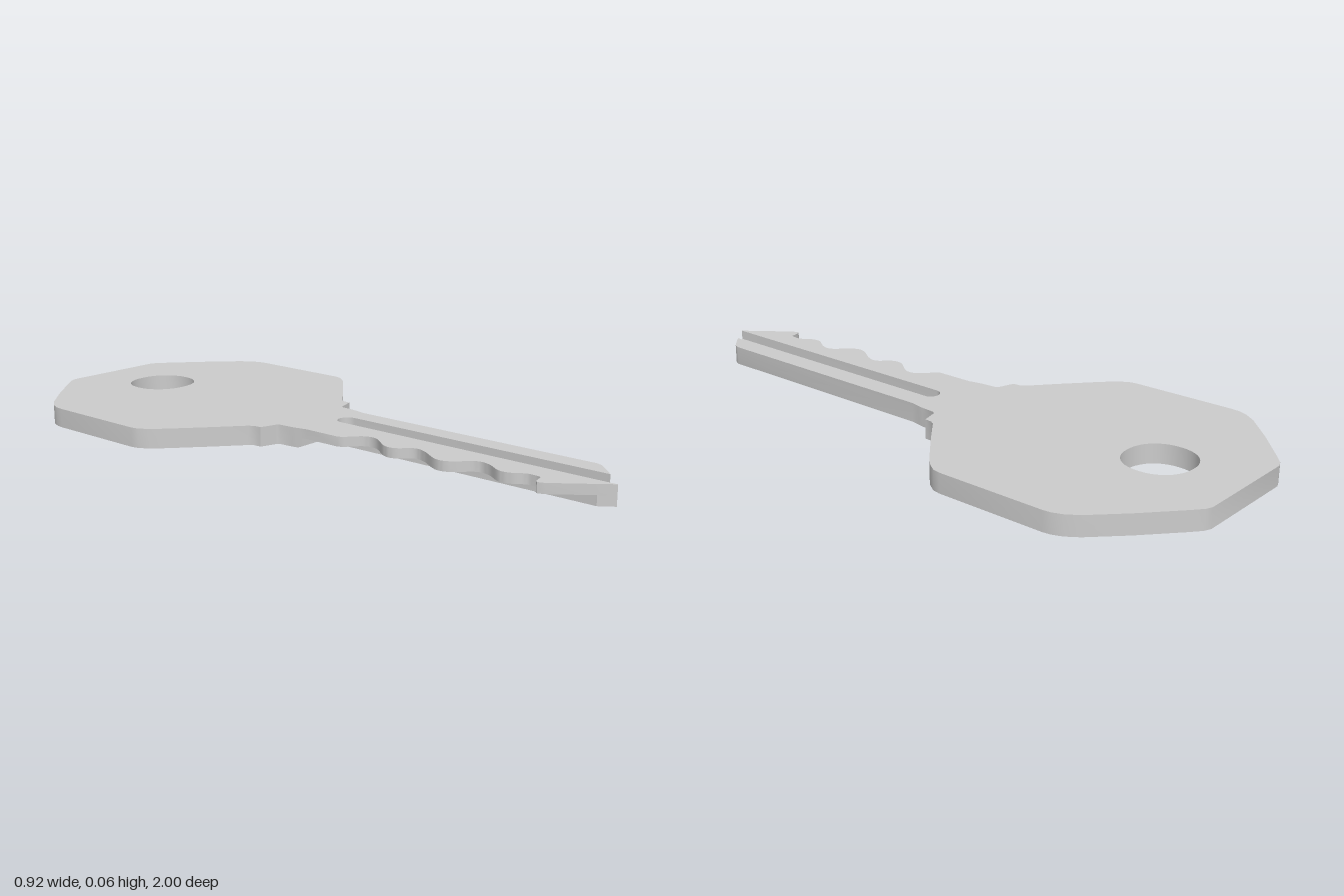
import * as THREE from 'three';
import { mergeGeometries, toCreasedNormals } from 'three/addons/utils/BufferGeometryUtils.js';

const BOTTOM = 0, MID = 0.03, TOP = 0.06;
const mirror = (pts) => pts.map(([x, z]) => [-x, z]).reverse();

// Smooth curve through [x, z] points
function smooth(pts, n) {
  const curve = new THREE.SplineCurve(pts.map(([x, z]) => new THREE.Vector2(x, z)));
  return curve.getPoints(n).map((p) => [p.x, p.y]);
}

// Vertical ribbon along a closed outline (clockwise from above faces outward)
function wall(pts, y0, y1) {
  const pos = [];
  pts.forEach(([x, z], i) => {
    const [u, w] = pts[(i + 1) % pts.length];
    pos.push(x, y0, z, u, y1, w, u, y0, w, x, y0, z, x, y1, z, u, y1, w);
  });
  const g = new THREE.BufferGeometry();
  g.setAttribute('position', new THREE.Float32BufferAttribute(pos, 3));
  return g;
}

// Flat face at height y, facing up or down
function cap(pts, y, up, hole) {
  const s = up ? -1 : 1;
  const to2D = (list) => list.map(([x, z]) => new THREE.Vector2(x, s * z));
  const shape = new THREE.Shape(to2D(pts));
  if (hole) shape.holes.push(new THREE.Path(to2D(hole)));
  const g = new THREE.ShapeGeometry(shape).toNonIndexed();
  g.rotateX(s * Math.PI / 2).translate(0, y, 0);
  g.deleteAttribute('uv');
  g.deleteAttribute('normal');
  return g;
}

export function createModel() {
  const key = new THREE.Group();
  key.name = 'key';
  const material = new THREE.MeshStandardMaterial({ color: 0xcccccc });
  const add = (name, parts) => {
    const mesh = new THREE.Mesh(toCreasedNormals(mergeGeometries(parts), 0.6), material);
    mesh.name = name;
    key.add(mesh);
  };

  // Right half of the head, from the top edge down to the neck
  const headSide = [
    [0.17, -1], [0.19, -0.992], [0.22, -0.968], [0.33, -0.872], [0.42, -0.785], [0.445, -0.75],
    [0.457, -0.72], [0.46, -0.695], [0.46, -0.355], [0.455, -0.33], [0.435, -0.3], [0.4, -0.266],
    [0.3, -0.18], [0.215, -0.11], [0.205, -0.095], [0.203, -0.07], [0.15, -0.055], [0.143, -0.045],
    [0.14, 0], [0.136, 0.02],
  ];

  // Straight back edge of the blade, ending at the groove mouth
  const back = [[0.13, 0.05], [0.13, 0.865], [0.122, 0.885], [0.1, 0.908], [0.065, 0.942]];

  // Toothed edge, from the tip back to the neck
  const teeth = [
    [-0.113, 0.855], [-0.12, 0.835], [-0.112, 0.828], [-0.078, 0.82],
    ...smooth([[-0.075, 0.815], [-0.074, 0.777], [-0.095, 0.745], [-0.1, 0.705], [-0.071, 0.655],
      [-0.069, 0.612], [-0.118, 0.56], [-0.124, 0.515], [-0.086, 0.45], [-0.08, 0.41],
      [-0.114, 0.37], [-0.115, 0.33], [-0.073, 0.268], [-0.077, 0.224], [-0.122, 0.185]], 84),
    [-0.13, 0.17], [-0.13, 0.05],
  ];

  // Groove: round inner end, open at the tip
  const groove = [];
  for (let i = 0; i <= 12; i++) {
    const t = (i / 12) * Math.PI;
    groove.push([0.0325 + 0.0325 * Math.cos(t), 0.07 - 0.0325 * Math.sin(t)]);
  }
  const tip = [0, 1];

  // Edge of the thinner toothed strip on the underside, with a rounded inner corner
  const step = [[-0.03, 0.959], [-0.03, 0.045], [-0.034, 0.031], [-0.042, 0.023], [-0.055, 0.02]];

  // Slightly squared hole for the ring
  const hole = [];
  const soft = (v) => Math.sign(v) * Math.abs(v) ** 0.92;
  for (let i = 0; i < 40; i++) {
    const t = (i / 40) * Math.PI * 2;
    hole.push([0.106 * soft(Math.cos(t)), -0.738 - 0.103 * soft(Math.sin(t))]);
  }

  const upper = [...headSide, ...back, ...groove, tip, ...teeth, ...mirror(headSide)];
  const lower = [...headSide, ...back, tip, ...step, ...mirror(headSide)];

  // Head and blade: upper and lower halves of the thickness
  add('keyBody', [
    cap(upper, TOP, true, hole), wall(upper, MID, TOP),
    cap(lower, BOTTOM, false, hole), wall(lower, BOTTOM, MID),
  ]);
  add('ringHole', [wall(hole, BOTTOM, TOP)]);
  add('grooveFloor', [cap([back.at(-1), ...groove, tip], MID, true)]);
  add('toothUnderside', [cap([step[0], ...teeth, [-0.136, 0.02], ...step.slice(1).reverse()], MID, false)]);
  return key;
}
